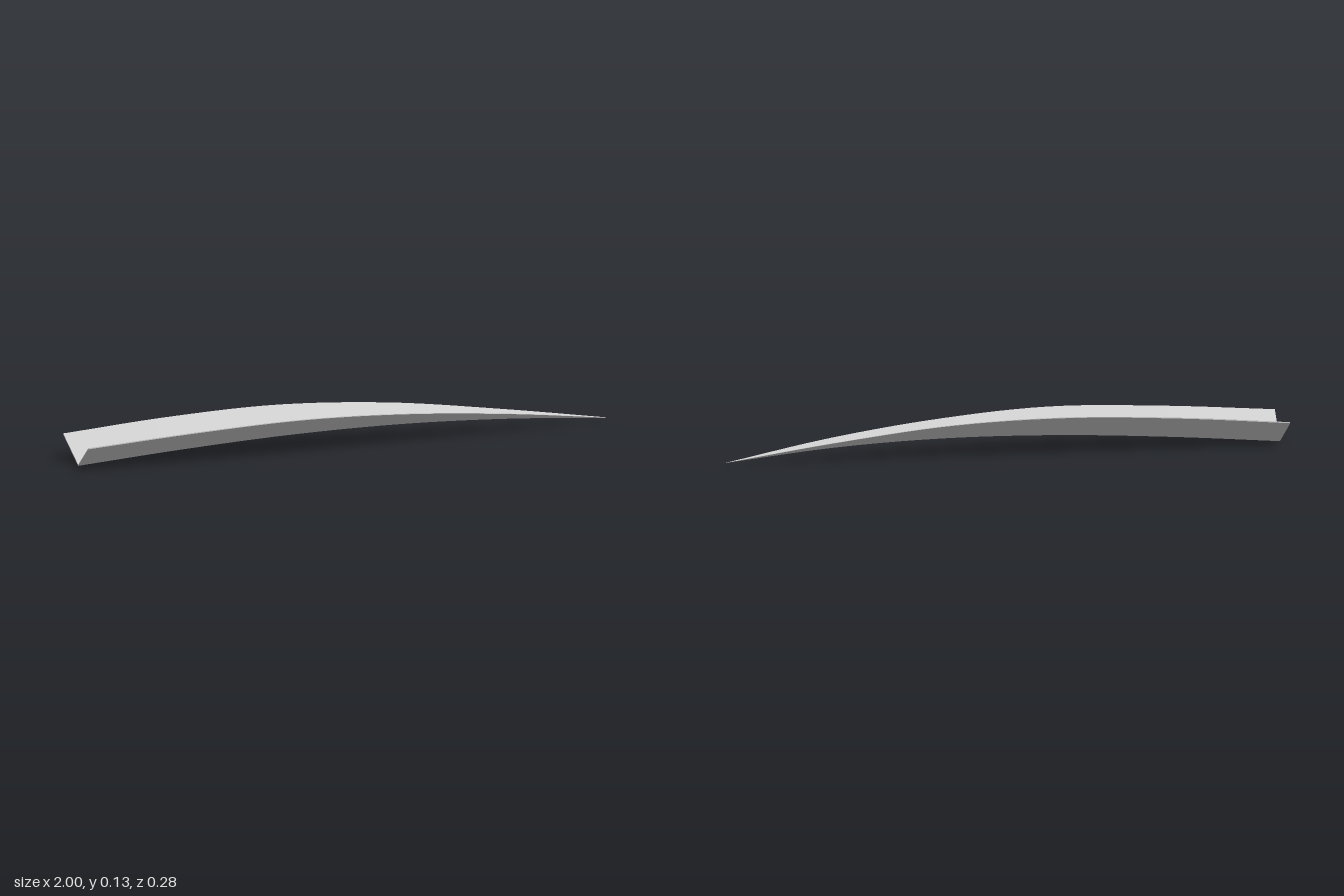
import * as THREE from 'three';

const SEGMENTS = 32;
const THICKNESS = 0.004;

// Smooth curve through a few [x, y, z] points
const curve = (pts) => new THREE.CatmullRomCurve3(pts.map((p) => new THREE.Vector3(...p)));

// Keel of the blade and its two rims, from the cut base to the tip
const keel = curve([
  [-0.985, 0.004, -0.012], [-0.6, 0.033, 0.001], [-0.2, 0.054, 0.012], [0.2, 0.059, 0.017],
  [0.6, 0.044, 0.011], [1, 0.01, -0.012],
]);
const frontRim = curve([
  [-1, 0.09, 0.119], [-0.6, 0.117, 0.135], [-0.2, 0.131, 0.139], [0.2, 0.112, 0.104],
  [0.6, 0.07, 0.057], [1, 0.01, -0.012],
]);
const backRim = curve([
  [-0.988, 0.089, -0.143], [-0.6, 0.119, -0.13], [-0.2, 0.134, -0.109], [0.2, 0.117, -0.07],
  [0.6, 0.069, -0.036], [1, 0.01, -0.012],
]);

// Points along a curve, lowered for the underside and closing up at the tip
function rail(path, lowered) {
  return Array.from({ length: SEGMENTS + 1 }, (_, i) => {
    const t = i / SEGMENTS;
    const p = path.getPoint(t);
    if (lowered) p.y -= THICKNESS * (1 - 0.8 * t);
    return p;
  });
}

// Ribbon of quads between two rails, facing up when a lies on the -z side of b
function ribbon(name, a, b, material) {
  const position = [];
  const index = [];
  a.forEach((p, i) => {
    position.push(...p.toArray(), ...b[i].toArray());
    if (i < a.length - 1) {
      const k = 2 * i;
      index.push(k, k + 1, k + 2, k + 1, k + 3, k + 2);
    }
  });
  const geometry = new THREE.BufferGeometry();
  geometry.setAttribute('position', new THREE.Float32BufferAttribute(position, 3));
  geometry.setIndex(index);
  geometry.computeVertexNormals();
  const mesh = new THREE.Mesh(geometry, material);
  mesh.name = name;
  return mesh;
}

export function createModel() {
  const group = new THREE.Group();
  group.name = 'leafBlade';
  const paleGrey = new THREE.MeshStandardMaterial({ color: 0xcccccc });
  paleGrey.name = 'pale grey';

  const [kTop, kLow] = [rail(keel, false), rail(keel, true)];
  const [fTop, fLow] = [rail(frontRim, false), rail(frontRim, true)];
  const [bTop, bLow] = [rail(backRim, false), rail(backRim, true)];

  // Folded upper and lower faces, then the thin rims
  group.add(
    ribbon('backHalfTop', bTop, kTop, paleGrey),
    ribbon('frontHalfTop', kTop, fTop, paleGrey),
    ribbon('backHalfUnderside', kLow, bLow, paleGrey),
    ribbon('frontHalfUnderside', fLow, kLow, paleGrey),
    ribbon('frontRim', fTop, fLow, paleGrey),
    ribbon('backRim', bLow, bTop, paleGrey),
  );

  // Cut base and tip, closing both ends of the blade
  const ends = { base: 0, tip: SEGMENTS };
  for (const [name, i] of Object.entries(ends)) {
    const upper = [bTop[i], kTop[i], fTop[i]];
    const lower = [bLow[i], kLow[i], fLow[i]];
    group.add(name === 'base' ? ribbon(name, upper, lower, paleGrey) : ribbon(name, lower, upper, paleGrey));
  }
  return group;
}
